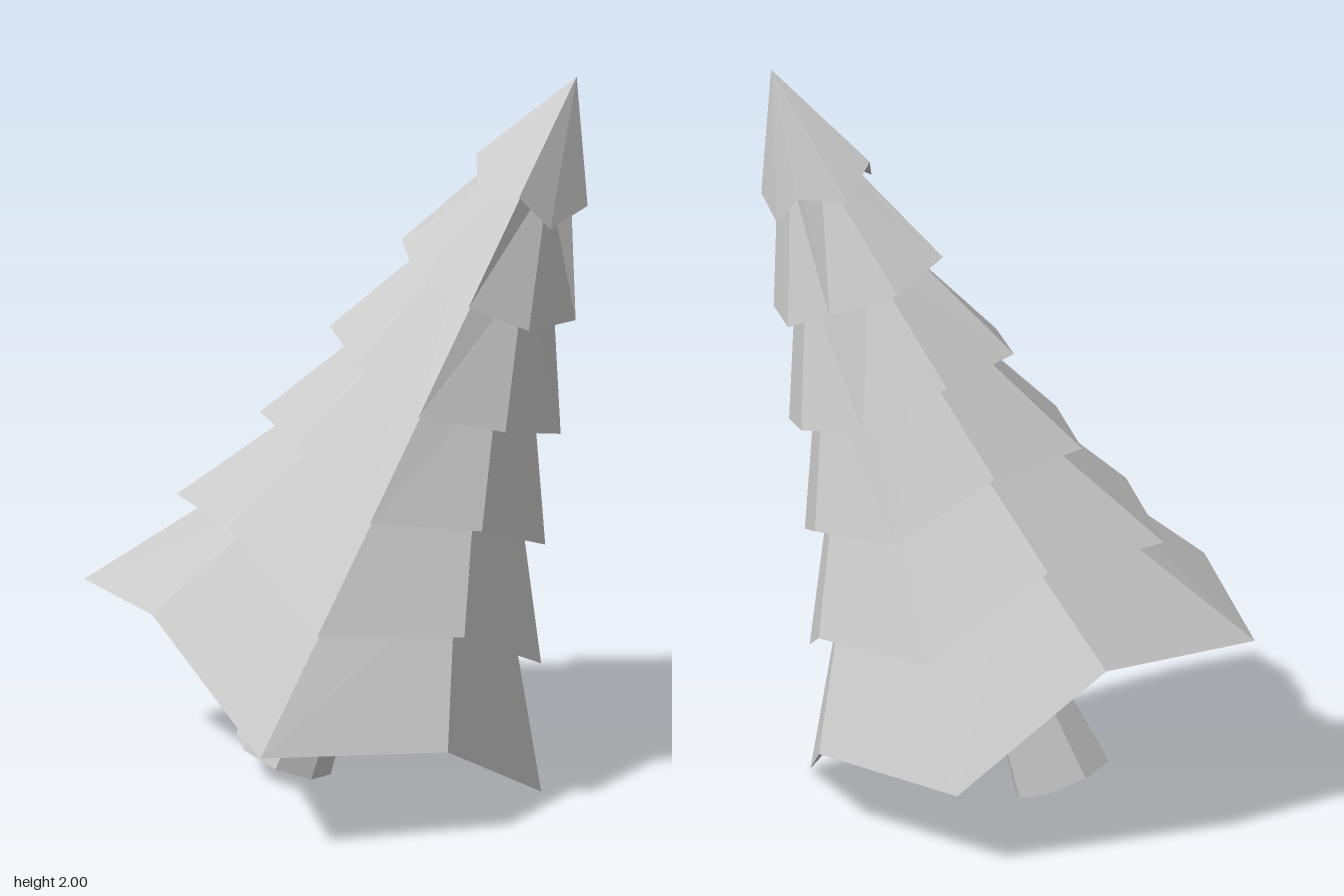
import * as THREE from 'three';

const SIDES = 8;
const material = new THREE.MeshStandardMaterial({ color: 0xcccccc, flatShading: true });

// Foliage tiers measured along the trunk axis: height of the main points,
// their radius, how far the points between are lifted, and the radius at the top
const TIERS = [
  { y: 0.211, r: 0.672, lift: 0.152, top: 0.4 },
  { y: 0.541, r: 0.536, lift: 0.105, top: 0.3 },
  { y: 0.852, r: 0.42, lift: 0.06, top: 0.215 },
  { y: 1.156, r: 0.34, lift: 0.02, top: 0.145 },
  { y: 1.467, r: 0.256, lift: -0.022, top: 0.07 },
  { y: 1.776, r: 0.164, lift: -0.065 },
];
const TIP = 2.096;
const OVERLAP = 0.1; // how far a tier runs up inside the next
const HOLLOW = 0.55; // depth of the underside relative to the radius

// Eight-pointed ring whose odd points sit closer in and are lifted
function ring(y, r, lift) {
  const points = [];
  for (let i = 0; i < SIDES; i++) {
    const odd = i % 2;
    const angle = (i * Math.PI * 2) / SIDES - 0.06;
    const radius = r * (odd ? 0.915 : 1);
    points.push(new THREE.Vector3(
      -Math.cos(angle) * radius,
      y + (odd ? lift : 0),
      Math.sin(angle) * radius
    ));
  }
  return points;
}

// Skirt from the lower ring to the upper ring (or tip), with a hollow underside
function skirt(lower, upper, centreY) {
  const positions = [];
  const tri = (...corners) => corners.forEach((p) => positions.push(p.x, p.y, p.z));
  const centre = new THREE.Vector3(0, centreY, 0);
  for (let i = 0; i < SIDES; i++) {
    const j = (i + 1) % SIDES;
    if (upper.length === 1) {
      tri(lower[i], lower[j], upper[0]);
    } else if (i % 2) {
      tri(lower[i], lower[j], upper[i]);
      tri(lower[j], upper[j], upper[i]);
    } else {
      tri(lower[i], lower[j], upper[j]);
      tri(lower[i], upper[j], upper[i]);
    }
    tri(centre, lower[j], lower[i]);
  }
  const geometry = new THREE.BufferGeometry();
  geometry.setAttribute('position', new THREE.Float32BufferAttribute(positions, 3));
  geometry.computeVertexNormals();
  return geometry;
}

export function createModel() {
  const model = new THREE.Group();
  model.name = 'leaningPineTree';

  // Everything is built upright, then leaned over along the trunk axis
  const tree = new THREE.Group();
  tree.name = 'tree';
  tree.position.set(-0.135, 0.053, 0.008);
  tree.quaternion.setFromUnitVectors(
    new THREE.Vector3(0, 1, 0),
    new THREE.Vector3(0.371, 0.929, -0.043).normalize()
  );
  model.add(tree);

  // Trunk with a narrow waist
  const profile = [[0, 0], [0.138, 0], [0.108, 0.22], [0.13, 0.42], [0.12, 0.56], [0, 0.56]]
    .map(([r, y]) => new THREE.Vector2(r, y));
  const trunk = new THREE.Mesh(new THREE.LatheGeometry(profile, SIDES), material);
  trunk.name = 'trunk';
  tree.add(trunk);

  // Foliage, each tier tucked up inside the next
  TIERS.forEach((tier, k) => {
    const next = TIERS[k + 1];
    const lower = ring(tier.y, tier.r, tier.lift);
    const upper = next
      ? ring(next.y + OVERLAP, tier.top, next.lift)
      : [new THREE.Vector3(0, TIP, 0)];
    const mesh = new THREE.Mesh(skirt(lower, upper, tier.y + tier.r * HOLLOW), material);
    mesh.name = next ? `foliageTier${k + 1}` : 'foliageTip';
    tree.add(mesh);
  });

  return model;
}
